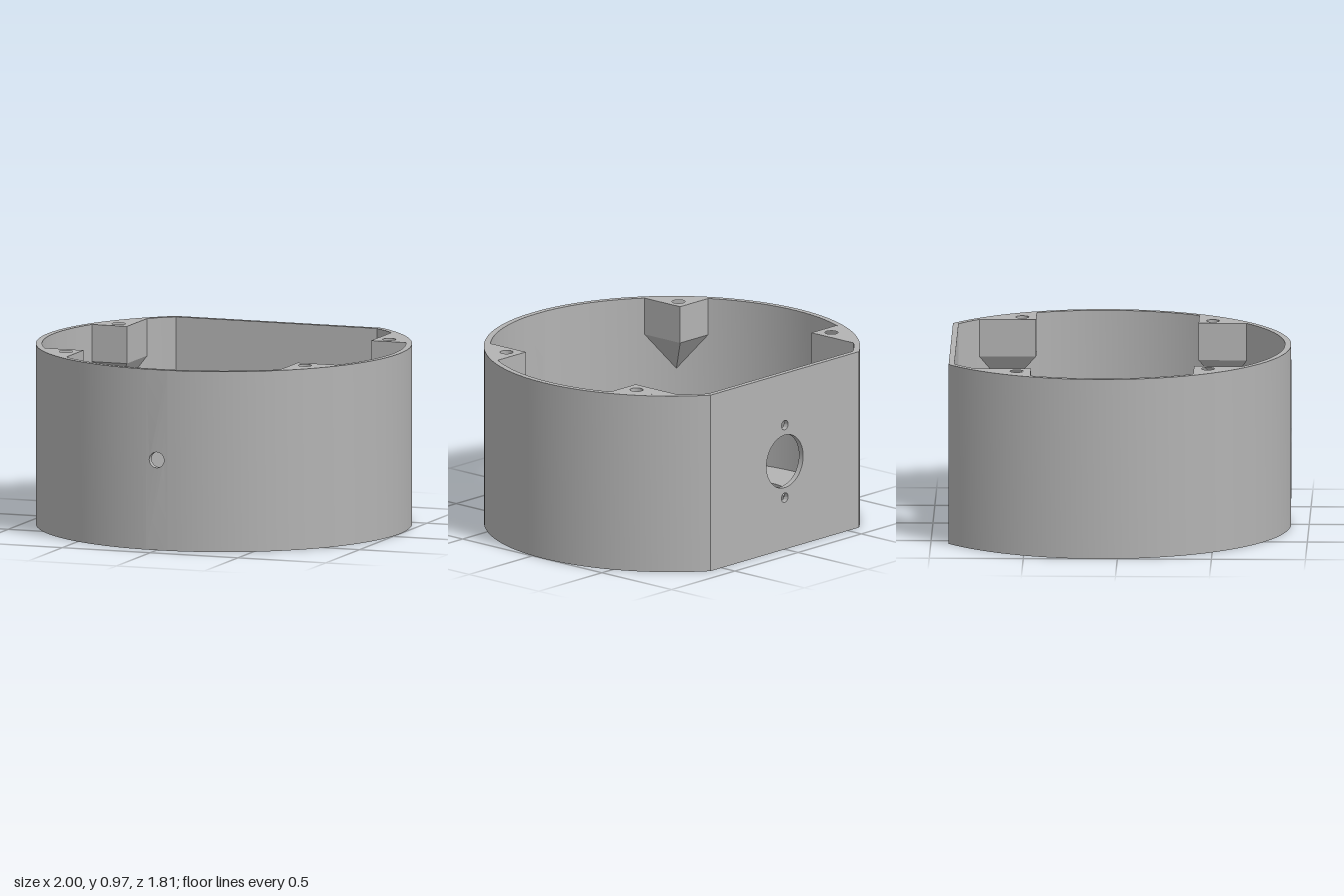
import * as THREE from 'three';
import { toCreasedNormals } from 'three/addons/utils/BufferGeometryUtils.js';
import { ConvexGeometry } from 'three/addons/geometries/ConvexGeometry.js';

const H = 0.97, R = 1, RI = 0.967, Z0 = -0.095; // height, outer and inner radius, circle centre
const BACK = -0.905, BACK_IN = -0.875;          // outer and inner faces of the flat back
const FLOOR = 0.08, GAP = 0.06;                 // floor top, half angle of the front panel
const SIDES = [1, -1];

// Point in plan (x, z); angle is measured from the front
const plan = (x, z) => new THREE.Vector2(x, -z);
const arc = (r, a, b, s = 1, n = 48) => Array.from({ length: n + 1 }, (_, i) => {
  const t = a + (b - a) * i / n;
  return plan(s * r * Math.sin(t), Z0 + r * Math.cos(t));
});
const circle = (x, y, r) => new THREE.Path().absarc(x, y, r, 0, Math.PI * 2, true);
const planCircle = (x, z, r) => circle(x, -z, r);

function extrude(points, holes, depth) {
  const shape = new THREE.Shape(points);
  shape.holes.push(...holes);
  return new THREE.ExtrudeGeometry(shape, { depth, bevelEnabled: false, curveSegments: 32 });
}

// Extrude a plan outline upward from y0 to y1
function slab(points, holes, y0, y1) {
  const g = extrude(points, holes, y1 - y0).rotateX(-Math.PI / 2).translate(0, y0, 0);
  return toCreasedNormals(g, 0.6);
}

export function createModel() {
  const group = new THREE.Group();
  const grey = new THREE.MeshStandardMaterial({ color: 0xb3b3b3 });
  grey.name = 'grey';
  const add = (name, geometry) => {
    const mesh = new THREE.Mesh(geometry, grey);
    mesh.name = name;
    group.add(mesh);
  };

  const outerEnd = Math.acos((BACK - Z0) / R);
  const innerEnd = Math.acos((BACK_IN - Z0) / RI);
  const backX = RI * Math.sin(innerEnd);

  // Curved side walls
  for (const s of SIDES) {
    add('sideWall', slab([
      ...arc(R, GAP, outerEnd, s, 64),
      plan(s * backX, BACK),
      ...arc(RI, innerEnd, GAP, s, 64),
    ], [], 0, H));
  }

  // Front panel with its small round hole, bent to the wall's curve
  const rect = (w) => [[-w, 0], [w, 0], [w, H], [-w, H]].map(p => new THREE.Vector2(...p));
  const front = extrude(rect(GAP), [circle(0, H / 2, 0.042)], R - RI);
  const pos = front.attributes.position;
  for (let i = 0; i < pos.count; i++) {
    const a = pos.getX(i), r = RI + pos.getZ(i);
    pos.setXYZ(i, r * Math.sin(a), pos.getY(i), Z0 + r * Math.cos(a));
  }
  add('frontPanel', toCreasedNormals(front, 0.6));

  // Flat back with the socket hole and two screw holes
  const back = extrude(rect(backX), [
    circle(0, H / 2, 0.145),
    circle(0, H / 2 + 0.2, 0.026),
    circle(0, H / 2 - 0.2, 0.026),
  ], BACK_IN - BACK).translate(0, 0, BACK);
  add('backPanel', toCreasedNormals(back, 0.6));

  // Floor in three layers: recess below, round openings, stepped pockets above
  const inside = [...arc(RI, 0, innerEnd, 1, 64), ...arc(RI, innerEnd, 0, -1, 64).slice(0, -1)];
  const HX = 0.43, HZ = -0.17;
  const openings = (r) => SIDES.map(s => planCircle(s * HX, HZ, r));
  const pockets = SIDES.map(s => {
    const r = 0.285, half = 0.137, a = Math.asin(half / r), pts = [plan(s * 0.11, HZ + half)];
    for (let i = 0; i <= 48; i++) {
      const t = a + (2 * Math.PI - 2 * a) * i / 48;
      pts.push(plan(s * (HX - r * Math.cos(t)), HZ + r * Math.sin(t)));
    }
    pts.push(plan(s * 0.11, HZ - half));
    return new THREE.Path(pts);
  });
  add('floorRecess', slab(inside, openings(0.36), 0, 0.023));
  add('floorPlate', slab(inside, openings(0.25), 0.023, 0.06));
  add('floorPockets', slab(inside, pockets, 0.06, FLOOR));

  // Raised bar between the openings, running to the back
  const barLength = 0.675, barTop = 0.14;
  add('floorBar', new THREE.BoxGeometry(0.23, barTop - 0.06, barLength)
    .translate(0, (barTop + 0.06) / 2, -0.2 - barLength / 2));

  // Hollow screw posts on the floor
  for (const s of SIDES) {
    for (const [x, z] of [[0.185, 0.1], [0.68, -0.44]]) {
      const ring = new THREE.Path().absarc(s * x, -z, 0.06, 0, Math.PI * 2, false).getPoints(32).slice(0, -1);
      add('screwPost', slab(ring, [planCircle(s * x, z, 0.035)], FLOOR, 0.17));
    }
  }

  // Lid screw bosses under the rim, each tapering to a point on the wall
  const bosses = [
    { x: 0.61, z: 0.4, hole: [0.68, 0.475],
      from: Math.asin(0.61 / RI), to: Math.acos((0.4 - Z0) / RI) },
    { x: 0.695, z: -0.465, hole: [0.77, -0.54],
      from: Math.acos((-0.465 - Z0) / RI), to: Math.PI - Math.asin(0.695 / RI) },
  ];
  for (const s of SIDES) {
    for (const { x, z, hole, from, to } of bosses) {
      const outline = [plan(s * x, z), ...arc(RI, from, to, s, 12)];
      add('lidBoss', slab(outline, [planCircle(s * hole[0], hole[1], 0.035)], H - 0.2, H));
      const tip = arc(RI, (from + to) / 2, to, s, 1)[0];
      const points = outline.map(p => new THREE.Vector3(p.x, H - 0.2, -p.y));
      points.push(new THREE.Vector3(tip.x, H - 0.39, -tip.y));
      add('lidBossTaper', new ConvexGeometry(points));
    }
  }
  return group;
}
